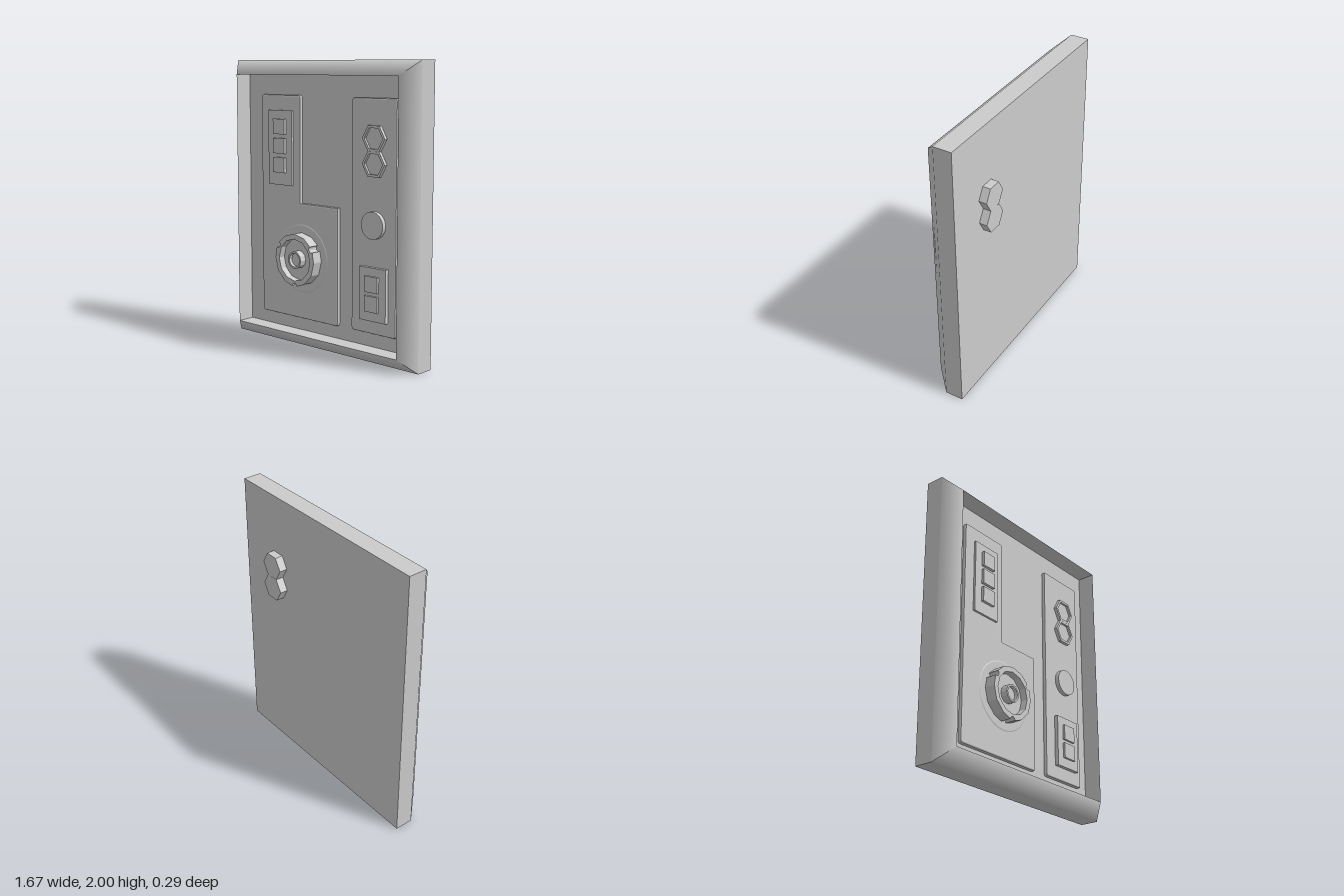
import * as THREE from 'three';

const FLOOR = 0.02, PANEL = 0.045, BACK = -0.09;
const W = 0.835, H = 1; // half size of the board

export function createModel() {
  const root = new THREE.Group();
  root.name = 'controlPanel';
  const mat = new THREE.MeshStandardMaterial({ color: 0xcccccc });
  const flat = new THREE.MeshStandardMaterial({ color: 0xcccccc, flatShading: true });

  const add = (name, geo, x = 0, y = 0, z = 0, m = mat, parent = root) => {
    const mesh = new THREE.Mesh(geo, m);
    mesh.name = name;
    mesh.position.set(x, y, z);
    parent.add(mesh);
    return mesh;
  };

  // box spanning z0..z1
  const block = (name, x, y, w, h, z0, z1) =>
    add(name, new THREE.BoxGeometry(w, h, z1 - z0), x, y, (z0 + z1) / 2);

  // extruded outline spanning z0..z1
  const slab = (name, shape, x, y, z0, z1, bevel = 0) =>
    add(name, new THREE.ExtrudeGeometry(shape, {
      depth: z1 - z0 - bevel * 2, bevelEnabled: bevel > 0, bevelThickness: bevel,
      bevelSize: bevel, bevelOffset: -bevel, bevelSegments: 2, curveSegments: 4,
    }), x, y, z0 + bevel, flat);

  // regular polygon outline
  const polygon = (r, n, turn = 0) => Array.from({ length: n }, (_, i) => {
    const a = turn + (i / n) * Math.PI * 2;
    return new THREE.Vector2(r * Math.cos(a), r * Math.sin(a));
  });

  // outline from [x, y, cornerRadius] points
  const rounded = (pts) => {
    const s = new THREE.Shape();
    pts.forEach(([x, y, r], i) => {
      const p = new THREE.Vector2(x, y);
      const toward = (q) => p.clone().add(new THREE.Vector2(q[0] - x, q[1] - y).setLength(r));
      const a = r ? toward(pts[(i + pts.length - 1) % pts.length]) : p;
      if (i === 0) s.moveTo(a.x, a.y); else s.lineTo(a.x, a.y);
      if (r) {
        const b = toward(pts[(i + 1) % pts.length]);
        s.quadraticCurveTo(x, y, b.x, b.y);
      }
    });
    s.closePath();
    return s;
  };

  // mitred frame: each strip joins two rectangles given as [inset, z, outward normal, front normal]
  const strips = [
    [[0, BACK, 1, 0], [0, 0.04, 1, 0]],
    [[0, 0.04, 0.95, 0.3], [0.1, 0.148, 0.1, 1]],
    [[0.1, 0.148, -1, 0], [0.1, FLOOR, -1, 0]],
  ];
  const dirs = [[1, 0], [0, 1], [-1, 0], [0, -1]];
  const pos = [], nor = [], idx = [];
  for (const [dx, dy] of dirs) {
    for (const strip of strips) {
      const b = pos.length / 3;
      for (const [inset, z, out, front] of strip) {
        const w = W - inset, h = H - inset;
        const len = Math.hypot(out, front);
        for (const s of [-1, 1]) {
          pos.push((dx - dy * s) * w, H + (dy + dx * s) * h, z);
          nor.push((dx * out) / len, (dy * out) / len, front / len);
        }
      }
      idx.push(b, b + 1, b + 3, b, b + 3, b + 2);
    }
  }
  const frameGeo = new THREE.BufferGeometry();
  frameGeo.setAttribute('position', new THREE.Float32BufferAttribute(pos, 3));
  frameGeo.setAttribute('normal', new THREE.Float32BufferAttribute(nor, 3));
  frameGeo.setIndex(idx);
  add('frame', frameGeo);
  add('backFace', new THREE.PlaneGeometry(W * 2, H * 2), 0, H, BACK).rotation.y = Math.PI;
  add('recessFloor', new THREE.PlaneGeometry(W * 2 - 0.2, H * 2 - 0.2), 0, H, FLOOR);

  // raised panels
  slab('leftPanel', rounded([
    [-0.59, 0.19, 0.02], [0.14, 0.19, 0.02], [0.14, 1.01, 0], [-0.21, 1.01, 0],
    [-0.21, 1.76, 0.02], [-0.59, 1.76, 0.02],
  ]), 0, 0, 0, PANEL, 0.01);
  slab('rightPanel', rounded([
    [0.265, 0.195, 0.02], [0.645, 0.195, 0.02], [0.645, 1.757, 0.02], [0.265, 1.757, 0.02],
  ]), 0, 0, 0, PANEL, 0.01);

  // button plates
  block('upperButtonPlate', -0.39, 1.39, 0.23, 0.525, 0.03, 0.06);
  for (const y of [1.54, 1.405, 1.27]) block('squareButton', -0.386, y, 0.111, 0.107, 0.05, 0.08);
  block('lowerButtonPlate', 0.471, 0.47, 0.225, 0.36, 0.03, 0.072);
  for (const y of [0.54, 0.408]) block('squareButton', 0.471, y, 0.111, 0.107, 0.06, 0.088);

  // hexagonal sockets running through to the back
  for (const y of [1.498, 1.331]) {
    const ring = new THREE.Shape(polygon(0.096, 6));
    ring.holes.push(new THREE.Path(polygon(0.077, 6).reverse()));
    slab('hexSocketRim', ring, 0.469, y, 0.03, 0.068);
    slab('hexSocketBody', new THREE.Shape(polygon(0.096, 6)), 0.469, y, -0.146, 0.03);
    slab('hexSocketFloor', new THREE.Shape(polygon(0.08, 6)), 0.469, y, 0.03, 0.052);
  }

  // round button
  add('roundButton', new THREE.CylinderGeometry(0.092, 0.092, 0.045, 32), 0.466, 0.93, 0.0525)
    .rotation.x = Math.PI / 2;

  // dial: shallow base disc, notched ring and hollow hub
  const cx = -0.192, cy = 0.622;
  add('dialBase', new THREE.CylinderGeometry(0.235, 0.255, 0.008, 32), cx, cy, 0.044)
    .rotation.x = Math.PI / 2;

  const outline = [];
  polygon(0.185, 12).forEach((p, k) => {
    if (k % 4 !== 1) { outline.push(p); return; }
    const a = (k * Math.PI) / 6;
    for (let j = 0; j <= 6; j++) {
      const t = a - Math.PI / 2 - (j / 6) * Math.PI;
      outline.push(new THREE.Vector2(p.x + 0.022 * Math.cos(t), p.y + 0.022 * Math.sin(t)));
    }
  });
  const dialRing = new THREE.Shape(outline);
  dialRing.holes.push(new THREE.Path(polygon(0.148, 12).reverse()));
  slab('dialRing', dialRing, cx, cy, 0.04, 0.125);
  slab('dialFloor', new THREE.Shape(polygon(0.15, 12)), cx, cy, 0.04, 0.075);

  const hub = new THREE.Shape(polygon(0.062, 12));
  hub.holes.push(new THREE.Path(polygon(0.048, 12).reverse()));
  slab('dialHub', hub, cx, cy, 0.06, 0.125);
  slab('dialHubFloor', new THREE.Shape(polygon(0.05, 12)), cx, cy, 0.06, 0.1);

  return root;
}
